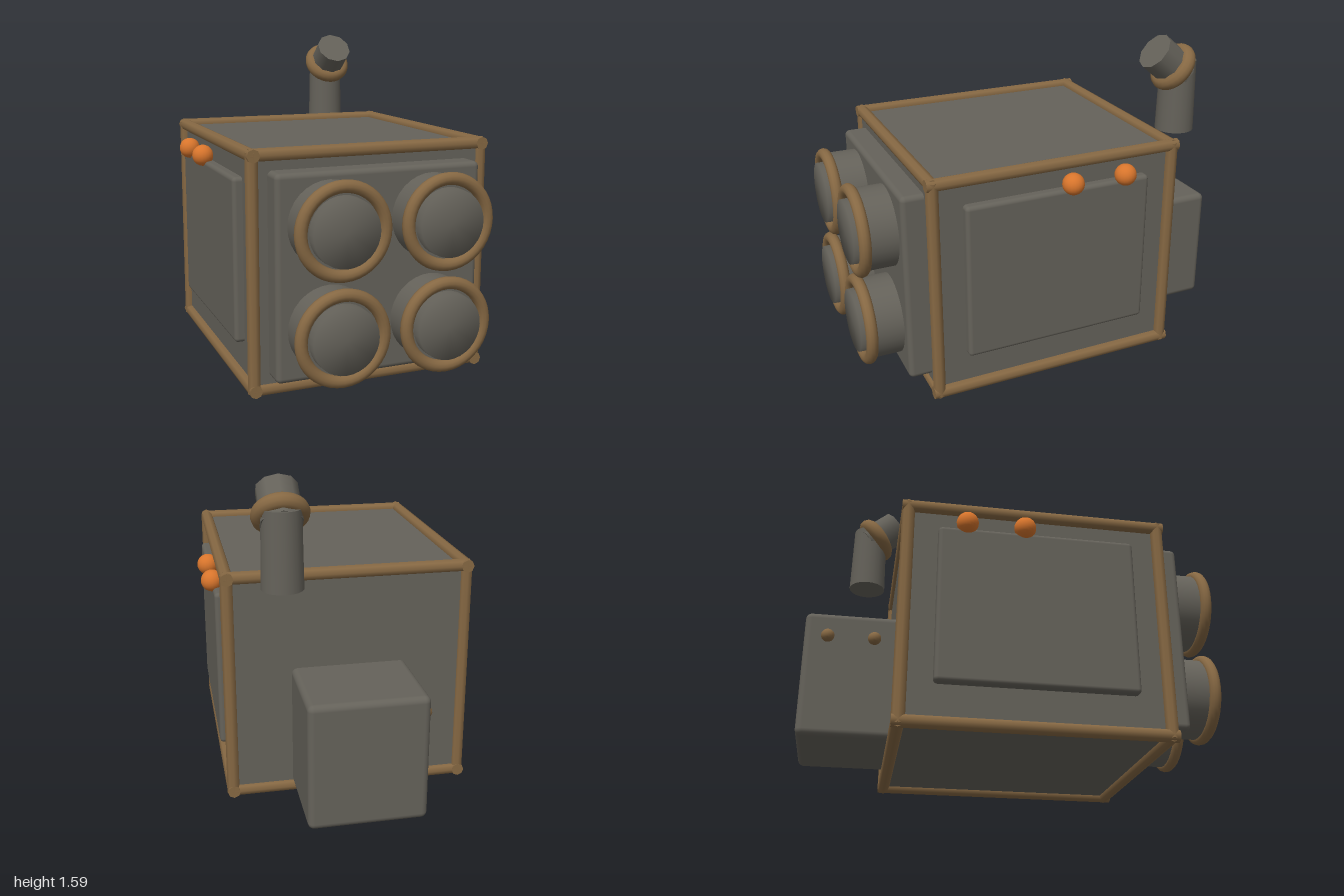
import * as THREE from 'three';
import { RoundedBoxGeometry } from 'three/addons/geometries/RoundedBoxGeometry.js';

const mat = (name, color) => {
  const m = new THREE.MeshStandardMaterial({ color });
  m.name = name;
  return m;
};

export function createModel() {
  const model = new THREE.Group();
  const steel = mat('dark steel', 0x65625a);
  const brass = mat('aged brass', 0x866843);
  const orange = mat('orange lamp', 0xd8752c);

  const add = (name, geo, material, x, y, z, parent = model) => {
    const mesh = new THREE.Mesh(geo, material);
    mesh.name = name;
    mesh.position.set(x, y, z);
    parent.add(mesh);
    return mesh;
  };
  // Rounded box given by its minimum and maximum corners
  const block = (name, a, b, r) => add(name,
    new RoundedBoxGeometry(b[0] - a[0], b[1] - a[1], b[2] - a[2], 3, r), steel,
    (a[0] + b[0]) / 2, (a[1] + b[1]) / 2, (a[2] + b[2]) / 2);

  // Main casing with its raised panels
  block('body', [-0.567, 0.04, -0.565], [0.567, 1.118, 0.69], 0.025);
  block('frontPanel', [-0.5, 0.1, 0.6], [0.5, 1.05, 0.8], 0.025);
  block('leftPanel', [0.5, 0.22, -0.41], [0.613, 1.0, 0.535], 0.02);
  block('rightPanel', [-0.613, 0.22, -0.41], [-0.5, 1.0, 0.535], 0.02);
  block('rearBox', [-0.28, 0.05, -1], [0.275, 0.66, -0.5], 0.03);

  // Brass pipes along all twelve edges
  const X = 0.567, Y = [0.041, 1.118], Z = [-0.555, 0.677], R = 0.031;
  const midY = (Y[0] + Y[1]) / 2, midZ = (Z[0] + Z[1]) / 2;
  const pipe = (len) => new THREE.CylinderGeometry(R, R, len, 8);
  for (const y of Y) {
    for (const z of Z) add('edgePipeAcross', pipe(2 * X + 0.03), brass, 0, y, z).rotation.z = Math.PI / 2;
    for (const x of [-X, X]) add('edgePipeAlong', pipe(Z[1] - Z[0] + 0.06), brass, x, y, midZ).rotation.x = Math.PI / 2;
  }
  for (const x of [-X, X])
    for (const z of Z) add('edgePipeUpright', pipe(Y[1] - Y[0] + 0.03), brass, x, midY, z);

  // Four round ports: barrel, brass ring and softly shaded lens
  const barrel = new THREE.CylinderGeometry(0.198, 0.198, 0.2, 32).rotateX(Math.PI / 2);
  const ring = new THREE.TorusGeometry(0.195, 0.029, 12, 40);
  const lens = new THREE.LatheGeometry([[0.158, 0], [0.154, 0.1], [0, 0.1]]
    .map(([r, h]) => new THREE.Vector2(r, h)), 32).rotateX(Math.PI / 2);
  for (const x of [-0.25, 0.25]) {
    for (const y of [0.342, 0.817]) {
      const port = new THREE.Group();
      port.name = 'port';
      port.position.set(x, y, 0);
      model.add(port);
      add('barrel', barrel, steel, 0, 0, 0.85, port);
      add('ring', ring, brass, 0, 0, 0.957, port);
      add('lens', lens, steel, 0, 0, 0.9, port);
    }
  }

  // Signal lamps on both sides
  const lamp = new THREE.SphereGeometry(0.053, 20, 14);
  for (const x of [-0.613, 0.613])
    for (const z of [0.003, -0.275]) add('sideLamp', lamp, orange, x, 1.026, z);

  // Small knobs on the rear box
  const knob = new THREE.SphereGeometry(0.032, 14, 10);
  for (const z of [-0.89, -0.67]) add('rearKnob', knob, brass, -0.283, 0.54, z);

  // Bent chimney with a brass collar at the elbow
  add('chimneyPipe', new THREE.CylinderGeometry(0.09, 0.097, 0.36, 20), steel, 0.335, 1.29, -0.72);
  const bend = new THREE.Group();
  bend.name = 'chimneyBend';
  bend.position.set(0.335, 1.435, -0.69);
  bend.rotation.x = -0.69;
  model.add(bend);
  add('collar', new THREE.TorusGeometry(0.092, 0.039, 12, 28), brass, 0, 0, 0, bend);
  add('spout', new THREE.CylinderGeometry(0.097, 0.097, 0.2, 10).rotateX(Math.PI / 2),
    steel, 0, 0, 0.045, bend);

  return model;
}
